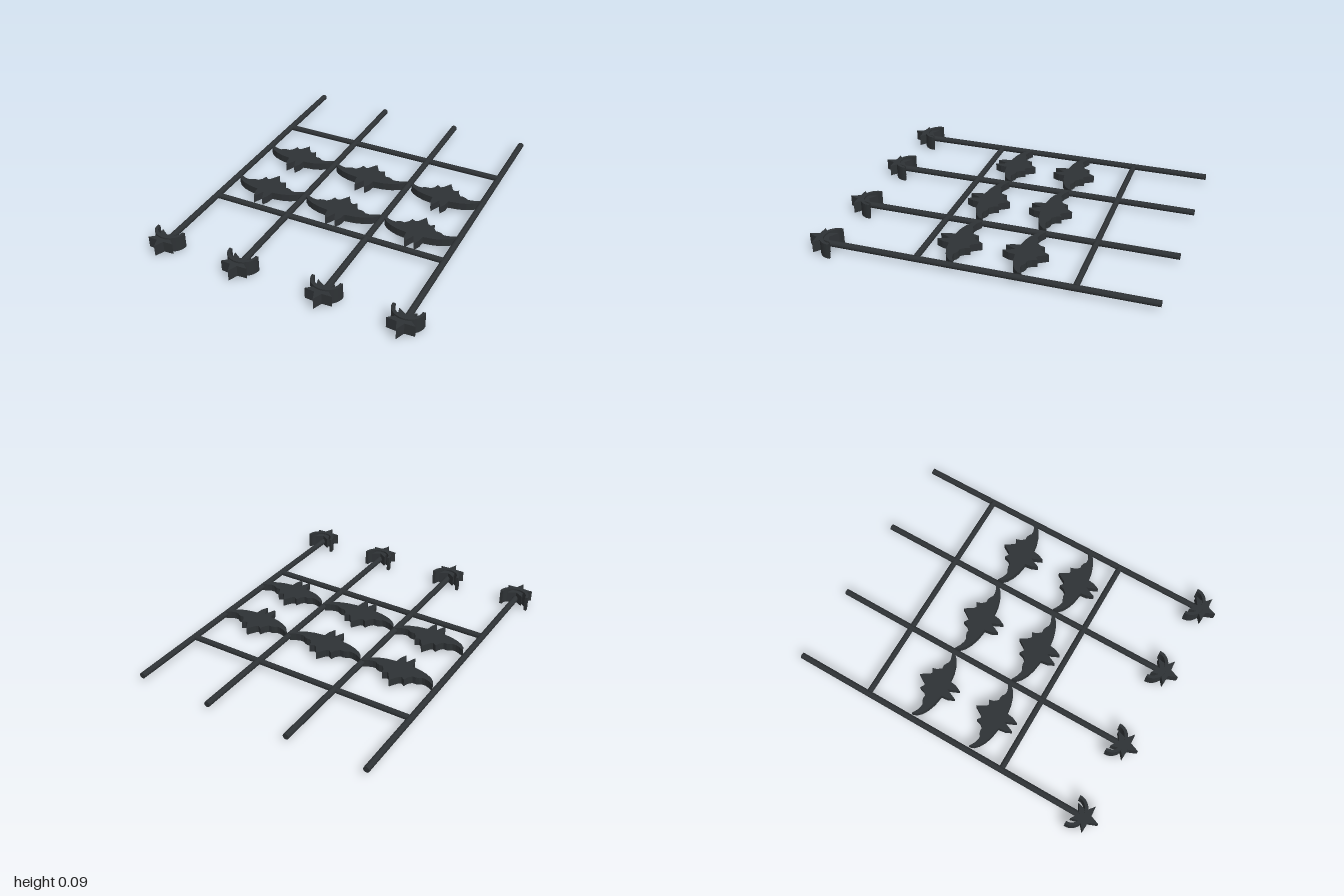
import * as THREE from 'three';

const mat = new THREE.MeshStandardMaterial({ color: 0x2e3235 });
const MID = 0.041;

// Plate drawn in x/z and extruded along y, centred on its own height
function plate(shape, thickness, curveSegments = 10) {
  const g = new THREE.ExtrudeGeometry(shape, { depth: thickness, bevelEnabled: false, curveSegments });
  g.translate(0, 0, -thickness / 2);
  g.rotateX(Math.PI / 2);
  return g;
}

function add(parent, name, geometry, x = 0, y = 0, z = 0) {
  const m = new THREE.Mesh(geometry, mat);
  m.name = name;
  m.position.set(x, y, z);
  parent.add(m);
  return m;
}

// Five-pointed star with one point towards +z
function starShape(outer, inner) {
  const pts = [];
  for (let i = 0; i < 10; i++) {
    const a = Math.PI / 2 + (i * Math.PI) / 5, r = i % 2 ? inner : outer;
    pts.push(new THREE.Vector2(Math.cos(a) * r, Math.sin(a) * r));
  }
  return new THREE.Shape(pts);
}

// Shallow half ring opening towards -z
function crescentShape() {
  const s = new THREE.Shape();
  s.absellipse(0, 0, 0.09, 0.08, -0.08, Math.PI + 0.08, false);
  s.absellipse(0, 0, 0.073, 0.06, Math.PI + 0.08, -0.08, true);
  s.closePath();
  return s;
}

// Bat silhouette, mirrored from its right half
function batShape() {
  const half = [
    [0.032, -0.075], [0.045, -0.068], [0.068, -0.083], [0.076, -0.055], [0.095, -0.032],
    [0.115, -0.033], [0.132, -0.027], [0.145, -0.017], [0.165, -0.017], [0.19, -0.025], [0.222, -0.043],
    [0.212, -0.016], [0.19, 0.006], [0.155, 0.026], [0.11, 0.041], [0.05, 0.05],
    [0.045, 0.09], [0.028, 0.128], [0.016, 0.1],
  ];
  const pts = [[0, -0.128], ...half, [0, 0.062], ...half.map(([x, z]) => [-x, z]).reverse()];
  return new THREE.Shape(pts.map(([x, z]) => new THREE.Vector2(x, z)));
}

export function createModel() {
  const root = new THREE.Group();
  root.name = 'batFence';

  // Upright posts, each capped by a crescent and a star
  const star = plate(starShape(0.083, 0.036), 0.066);
  const crescent = plate(crescentShape(), 0.092);
  const post = new THREE.CylinderGeometry(0.018, 0.018, 1.87, 12).rotateX(Math.PI / 2);
  [[-0.722, 0], [-0.25, 0], [0.255, 0], [0.72, 0.016]].forEach(([x, shift]) => {
    const g = new THREE.Group();
    g.name = 'post';
    g.position.set(x, 0, shift);
    add(g, 'postRod', post, 0, MID, -0.065);
    add(g, 'crescent', crescent, 0, MID + 0.005, 0.822);
    add(g, 'star', star, 0, MID + 0.008, 0.895);
    root.add(g);
  });

  // Cross rails, rising slightly towards +x
  const rail = new THREE.CylinderGeometry(0.017, 0.017, 1.43, 12).rotateZ(Math.PI / 2);
  for (const z of [-0.536, 0.357]) add(root, 'rail', rail, 0.002, MID, z).rotation.z = 0.006;

  // Two rows of bats between the posts
  const bat = plate(batShape(), 0.045);
  for (const z of [-0.207, 0.177]) {
    add(root, 'bat', bat, -0.476, MID, z);
    add(root, 'bat', bat, 0.005, MID, z + 0.01).scale.x = 1.08;
    add(root, 'bat', bat, 0.493, MID, z + 0.006);
  }
  return root;
}
